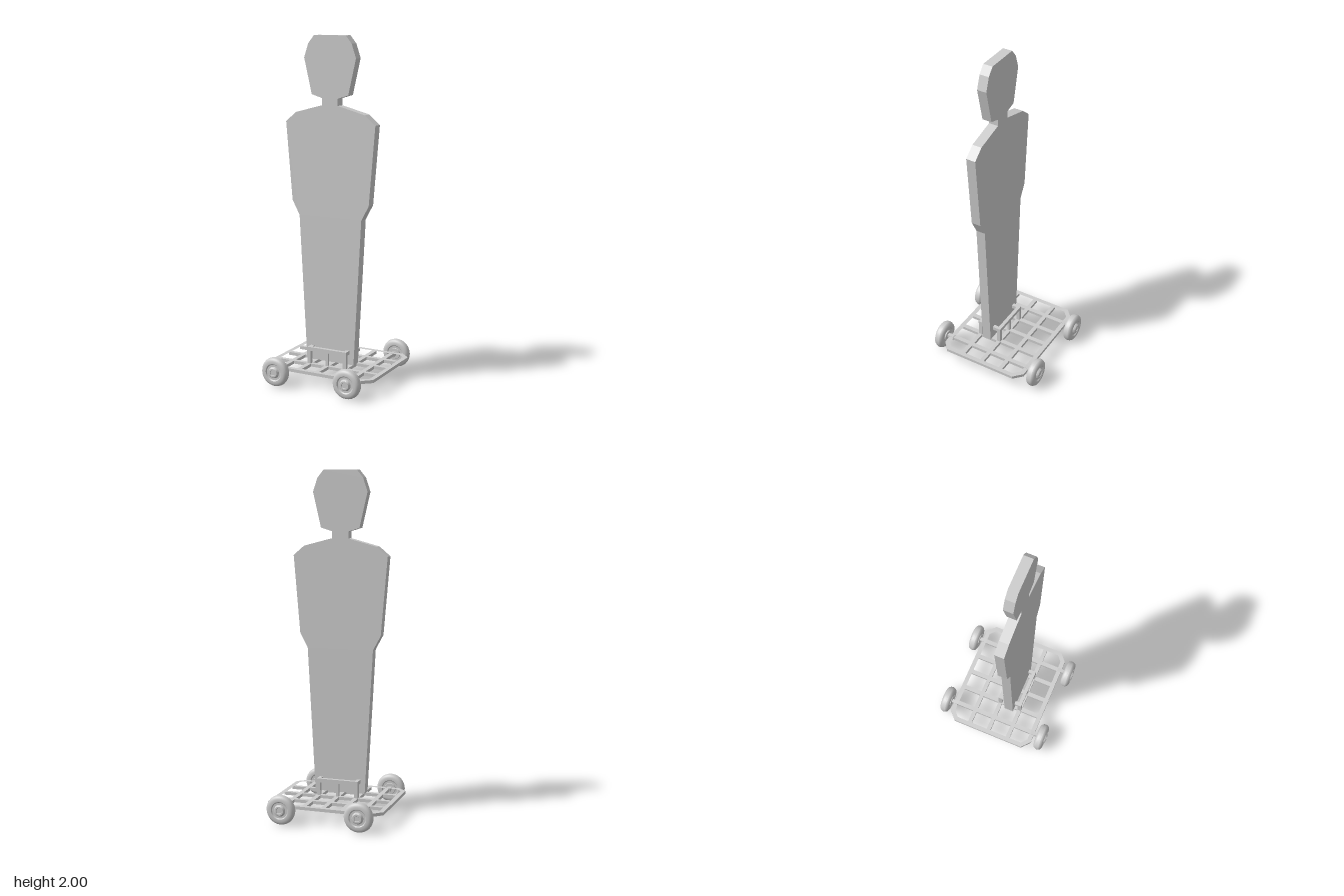
import * as THREE from 'three';
import { toCreasedNormals } from 'three/addons/utils/BufferGeometryUtils.js';

export function createModel() {
  const model = new THREE.Group();
  const flat = new THREE.MeshStandardMaterial({ color: 0xcccccc, flatShading: true });
  const smooth = new THREE.MeshStandardMaterial({ color: 0xcccccc });

  const add = (name, geometry, material = flat, parent = model) => {
    const mesh = new THREE.Mesh(geometry, material);
    mesh.name = name;
    parent.add(mesh);
    return mesh;
  };

  // Rectangular bar between two points
  const bar = (parent, name, a, b, width, height = width) => {
    const from = new THREE.Vector3(...a), to = new THREE.Vector3(...b);
    const mesh = add(name, new THREE.BoxGeometry(width, height, from.distanceTo(to)), flat, parent);
    mesh.position.copy(from).add(to).multiplyScalar(0.5);
    mesh.lookAt(to);
    return mesh;
  };

  // Flat figure cut from a thick board
  const half = [
    [0.153, 0.115], [0.2, 0.97], [0.246, 1.055], [0.285, 1.51], [0.22, 1.565], [0.05, 1.61],
    [0.05, 1.65], [0.116, 1.67], [0.164, 1.875], [0.137, 1.955], [0.1, 2.0],
  ];
  const outline = [...half, ...half.map(([x, y]) => [-x, y]).reverse()];
  const figure = new THREE.ExtrudeGeometry(
    new THREE.Shape(outline.map(([x, y]) => new THREE.Vector2(x, y))),
    { depth: 0.057, bevelEnabled: false });
  add('figureBoard', figure).position.z = 0.038;

  // Base rim with cut corners
  const base = new THREE.Group();
  base.name = 'baseFrame';
  model.add(base);
  const y = 0.091, w = 0.027, h = 0.018;
  const rimPoints = [
    [0.29, 0.265], [0.335, 0.226], [0.335, -0.226], [0.29, -0.268],
    [-0.29, -0.268], [-0.335, -0.226], [-0.335, 0.226], [-0.29, 0.265],
  ];
  const grow = (points, d) => points.map(([x, z]) => new THREE.Vector2(
    x + Math.sign(x) * (Math.abs(x) > 0.3 ? d : d * 0.4),
    z + Math.sign(z) * (Math.abs(z) > 0.25 ? d : d * 0.4)));
  const rim = new THREE.Shape(grow(rimPoints, w / 2));
  rim.holes.push(new THREE.Path(grow(rimPoints, -w / 2)));
  const rimGeometry = new THREE.ExtrudeGeometry(rim, { depth: h, bevelEnabled: false });
  rimGeometry.rotateX(Math.PI / 2);
  add('rim', rimGeometry, flat, base).position.y = y + h / 2;

  // Grid bars
  for (const x of [-0.23, -0.115, 0, 0.115, 0.23])
    bar(base, 'lengthBar', [x, y, -0.262], [x, y, 0.26], 0.027, h);
  for (const z of [-0.135, -0.004, 0.129])
    bar(base, 'crossBar', [-0.33, y, z], [0.33, y, z], 0.025, h);

  // Bracket that clamps the figure
  const bracket = new THREE.Group();
  bracket.name = 'bracket';
  model.add(bracket);
  const top = 0.188, t = 0.022;
  for (const z of [-0.004, 0.129]) {
    bar(bracket, 'bracketRail', [-0.127, top, z], [0.127, top, z], t);
    for (const x of [-0.116, 0, 0.116])
      bar(bracket, 'bracketPost', [x, y, z], [x, top, z], x ? t : 0.016);
  }
  for (const x of [-0.116, 0.116])
    bar(bracket, 'bracketSide', [x, top, -0.004], [x, top, 0.129], t);

  // Wheels: rounded tyre, recessed rim and raised hub; y of the profile points outward
  const profile = [
    [0, -0.028], [0.032, -0.028], [0.034, -0.021], [0.046, -0.021], [0.051, -0.026],
    [0.066, -0.027], [0.078, -0.021], [0.084, -0.01], [0.086, 0], [0.084, 0.01],
    [0.078, 0.021], [0.066, 0.027], [0.051, 0.026], [0.046, 0.02], [0.034, 0.02],
    [0.031, 0.028], [0.026, 0.034], [0.017, 0.034], [0.015, 0.03], [0, 0.03],
  ].map(([r, d]) => new THREE.Vector2(r, d));
  const wheelGeometry = toCreasedNormals(new THREE.LatheGeometry(profile, 32), 0.7);
  for (const side of [1, -1]) {
    for (const x of [-0.232, 0.231]) {
      const wheel = add('wheel', wheelGeometry, smooth);
      wheel.position.set(x, 0.086, side * 0.327);
      wheel.rotation.x = side * Math.PI / 2;

      // Tapered axle stub
      const axle = add('axle', new THREE.CylinderGeometry(0.012, 0.019, 0.06, 4, 1, false, Math.PI / 4));
      axle.position.set(x, 0.089, side * 0.285);
      axle.rotation.x = side * Math.PI / 2;
    }
  }
  return model;
}
